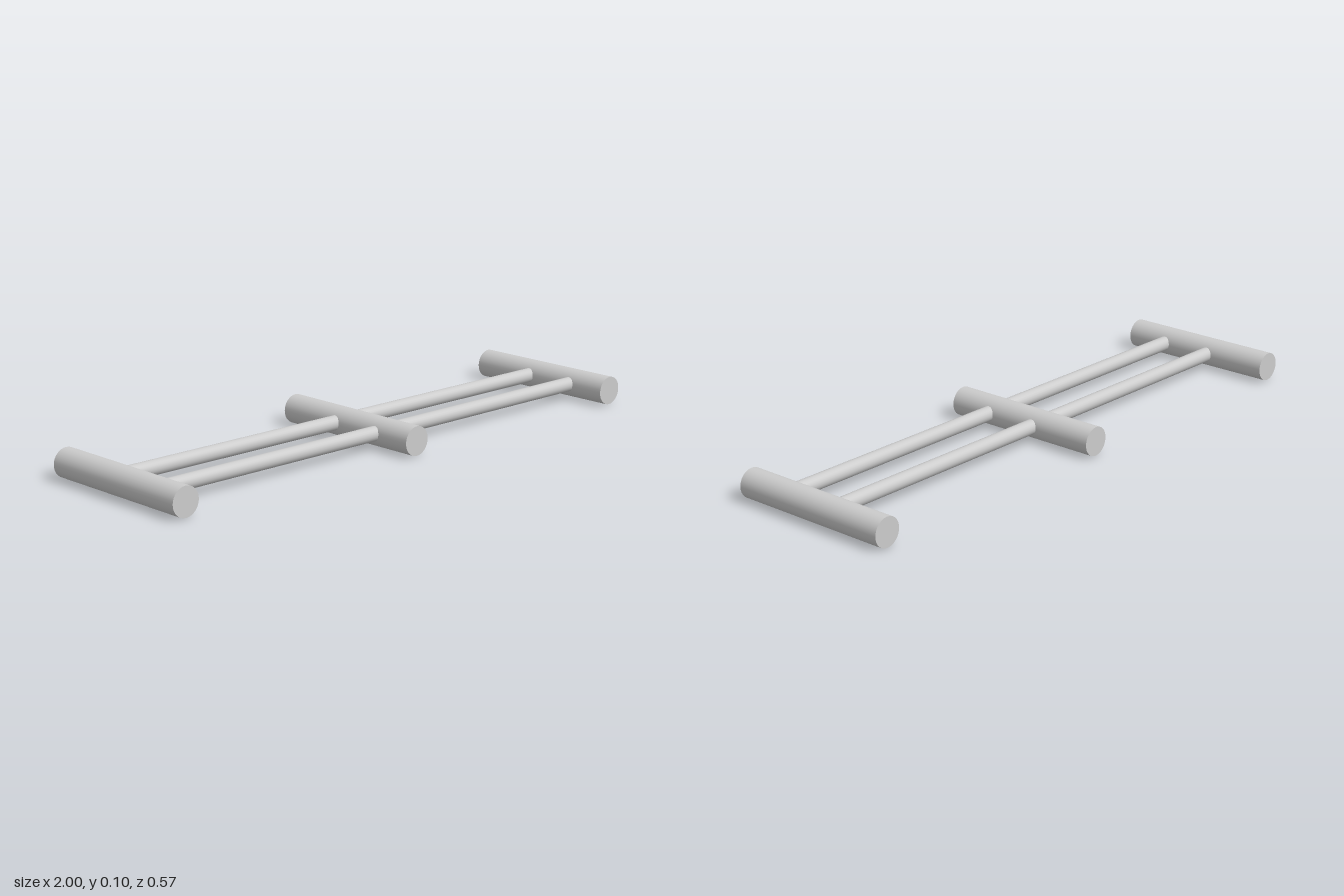
import * as THREE from 'three';

const POST_RADIUS = 0.049;
const POST_LENGTH = 0.574;
const ROD_RADIUS = 0.025;
const POST_X = 1 - POST_RADIUS;

export function createModel() {
  const model = new THREE.Group();
  model.name = 'crossbarFrame';
  const material = new THREE.MeshStandardMaterial({ color: 0xcccccc });

  const add = (name, geometry, x, y, z) => {
    const mesh = new THREE.Mesh(geometry, material);
    mesh.name = name;
    mesh.position.set(x, y, z);
    model.add(mesh);
  };

  // Three thick crossbars running front to back
  const bar = new THREE.CylinderGeometry(POST_RADIUS, POST_RADIUS, POST_LENGTH, 32).rotateX(Math.PI / 2);
  add('rightCrossbar', bar, -POST_X, POST_RADIUS, 0);
  add('middleCrossbar', bar, 0, POST_RADIUS, 0);
  add('leftCrossbar', bar, POST_X, POST_RADIUS, 0);

  // Two thin rods passing through the middle bar and ending inside the outer ones
  const rod = new THREE.CylinderGeometry(ROD_RADIUS, ROD_RADIUS, 2 * POST_X - 0.04, 24).rotateZ(Math.PI / 2);
  add('backRod', rod, 0, 0.052, -0.05);
  add('frontRod', rod, 0, 0.052, 0.136);

  return model;
}
